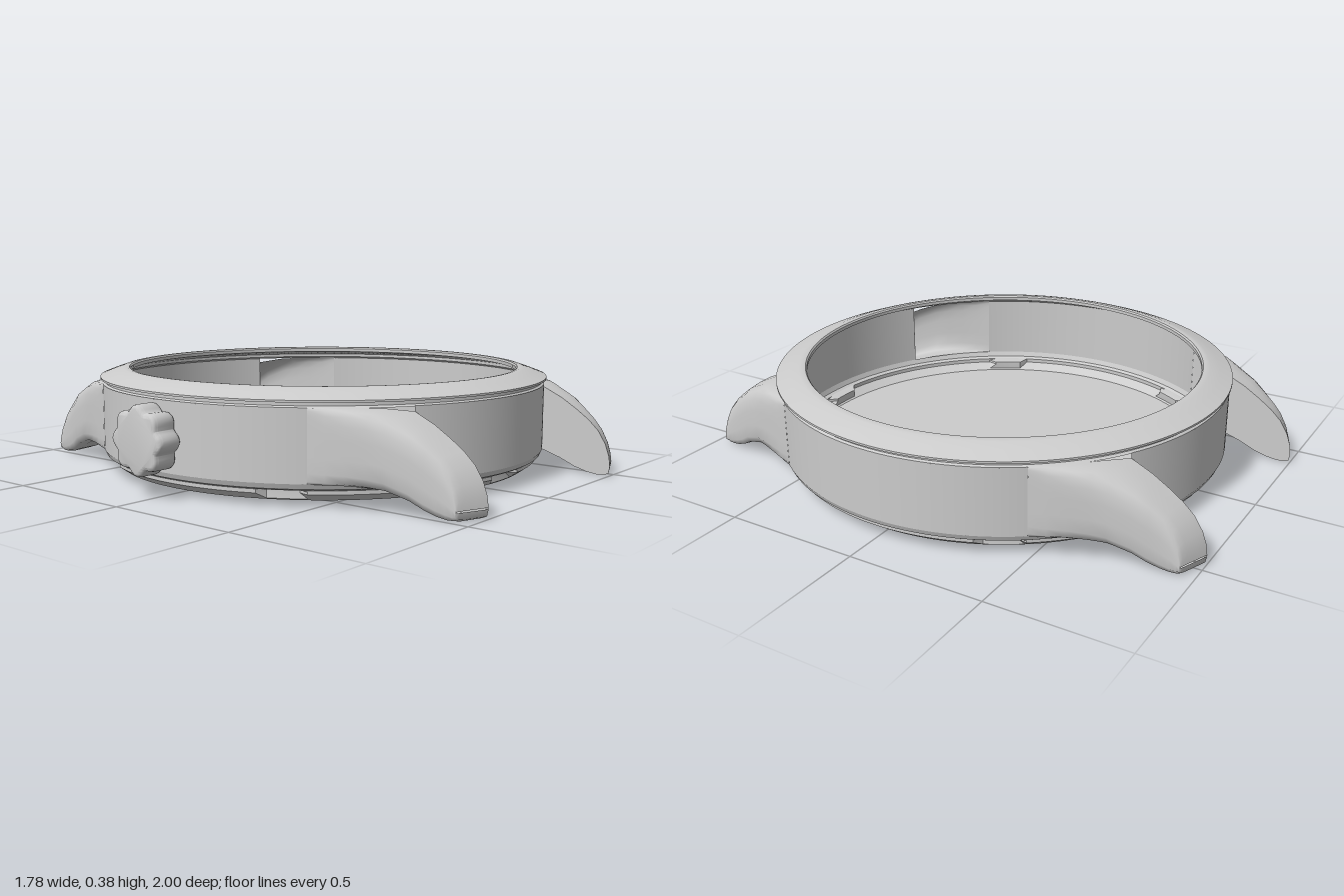
import * as THREE from 'three';
import { toCreasedNormals } from 'three/addons/utils/BufferGeometryUtils.js';

const metal = new THREE.MeshStandardMaterial({ color: 0xcccccc, side: THREE.DoubleSide });
const rad = THREE.MathUtils.degToRad;
const R = 0.84; // case wall radius

function addMesh(parent, name, geometry) {
  const mesh = new THREE.Mesh(geometry, metal);
  mesh.name = name;
  parent.add(mesh);
  return mesh;
}

// Ring or disc turned around the y axis from [radius, height] pairs
function turned(profile, from = 0, sweep = 360, segments = 144) {
  const pts = profile.map(([r, y]) => new THREE.Vector2(r, y));
  return new THREE.LatheGeometry(pts, segments, rad(from), rad(sweep));
}

// Surface through a list of equally long point rows
function skin(rows) {
  const n = rows[0].length, index = [];
  for (let i = 0; i < rows.length - 1; i++) {
    for (let j = 0; j < n - 1; j++) {
      const a = i * n + j, b = a + n;
      index.push(a, b, a + 1, b, b + 1, a + 1);
    }
  }
  const g = new THREE.BufferGeometry();
  g.setAttribute('position', new THREE.Float32BufferAttribute(rows.flat(2), 3));
  g.setIndex(index);
  g.computeVertexNormals();
  return g;
}

// Lug cross-sections from the case outwards: z, outer x, bottom y, top y
const lugRows = [
  [0.494, 0.68, 0.085, 0.328], [0.55, 0.664, 0.085, 0.328], [0.61, 0.642, 0.085, 0.327],
  [0.67, 0.617, 0.08, 0.323], [0.725, 0.596, 0.072, 0.31], [0.80, 0.573, 0.048, 0.275],
  [0.86, 0.557, 0.022, 0.238], [0.91, 0.546, 0.008, 0.203], [0.95, 0.54, 0.003, 0.165],
  [0.98, 0.537, 0.005, 0.118], [0.995, 0.536, 0.012, 0.075], [1.0, 0.535, 0.035, 0.04],
];
// Section outline as fractions of width and height, bottom to top
const lugOutline = [
  [0, 0], [0.35, 0], [0.7, 0], [0.9, 0.03], [1, 0.14], [1, 0.35], [1, 0.6],
  [0.97, 0.78], [0.88, 0.9], [0.7, 0.96], [0.35, 0.99], [0, 1],
];

function makeLug() {
  const lug = new THREE.Group();
  const rows = lugRows.map(([z, xo, yb, yt]) => {
    const xi = Math.max(0.424, Math.sqrt(Math.max(0, R * R - z * z)));
    const slant = 0.045 * Math.max(0, (z - 0.8) / 0.2); // tip is cut at a slant
    return lugOutline.map(([u, v]) => [xi + (xo - xi) * u, yb + (yt - yb) * v, z - slant * u]);
  });
  addMesh(lug, 'lugShell', skin(rows));
  // Flat inner cheek, only where the lug stands clear of the case
  addMesh(lug, 'lugInnerCheek', skin(rows.slice(4).map((r) => [r[0], r[r.length - 1]])));
  return lug;
}

// Case back with six wrench notches pressed into its sloping rim
function makeCaseBack() {
  const g = turned([[0, 0.02], [0.78, 0.02], [0.787, 0.025], [0.815, 0.045],
    [0.815, 0.054], [0.815, 0.06], [0.822, 0.06]], 0, 360, 180);
  const p = g.attributes.position;
  for (let i = 0; i < p.count; i++) {
    const x = p.getX(i), y = p.getY(i), z = p.getZ(i), r = Math.hypot(x, z);
    const angle = THREE.MathUtils.radToDeg(Math.atan2(x, z));
    const off = Math.abs(angle - Math.round(angle / 60) * 60);
    if (off < 4.1 && y > 0.03 && y < 0.057) {
      p.setX(i, x / r * 0.785);
      p.setZ(i, z / r * 0.785);
    }
  }
  return toCreasedNormals(g, rad(25));
}

// Scalloped winding crown
function makeCrown() {
  const shape = new THREE.Shape();
  const steps = 96;
  for (let i = 0; i < steps; i++) {
    const a = i / steps * Math.PI * 2;
    const r = 0.098 + 0.009 * Math.cos(8 * a);
    if (i) shape.lineTo(r * Math.cos(a), r * Math.sin(a));
    else shape.moveTo(r, 0);
  }
  shape.closePath();
  const g = new THREE.ExtrudeGeometry(shape, {
    depth: 0.061, bevelEnabled: true, bevelThickness: 0.017, bevelSize: 0.014, bevelSegments: 3,
  });
  return toCreasedNormals(g, rad(35));
}

export function createModel() {
  const model = new THREE.Group();
  model.name = 'watchCase';
  const body = new THREE.Group();
  body.name = 'caseBody';
  body.position.x = 0.04;
  model.add(body);

  // Case wall in four arcs, open where the hollow lugs join
  for (const [from, sweep] of [[-30.3, 60.6], [54, 72], [149.7, 60.6], [234, 72]]) {
    addMesh(body, 'caseWall', turned([[R, 0.084], [R, 0.328]], from, sweep, 40));
  }
  addMesh(body, 'lowerCaseEdge', toCreasedNormals(turned([[0.82, 0.06], [0.832, 0.066], [R, 0.085]]), rad(25)));
  addMesh(body, 'bezelSeat', toCreasedNormals(turned([[R, 0.326], [0.832, 0.333], [0.832, 0.346]]), rad(25)));

  // Bezel ring
  addMesh(body, 'bezel', toCreasedNormals(turned([
    [0.832, 0.345], [0.848, 0.345], [0.848, 0.352], [0.80, 0.37], [0.765, 0.382], [0.75, 0.385],
    [0.74, 0.384], [0.735, 0.378], [0.735, 0.365], [0.832, 0.345],
  ]), rad(28)));

  addMesh(body, 'caseBack', makeCaseBack());

  // Four mirrored lugs
  for (const sx of [1, -1]) {
    for (const sz of [1, -1]) {
      const lug = makeLug();
      lug.name = (sz > 0 ? 'front' : 'back') + (sx > 0 ? 'Left' : 'Right') + 'Lug';
      lug.scale.set(sx, 1, sz);
      body.add(lug);
    }
  }

  // Crown on the right flank
  const crown = addMesh(model, 'crown', makeCrown());
  crown.rotation.y = -Math.PI / 2;
  crown.position.set(-0.817, 0.198, -0.025);
  return model;
}
